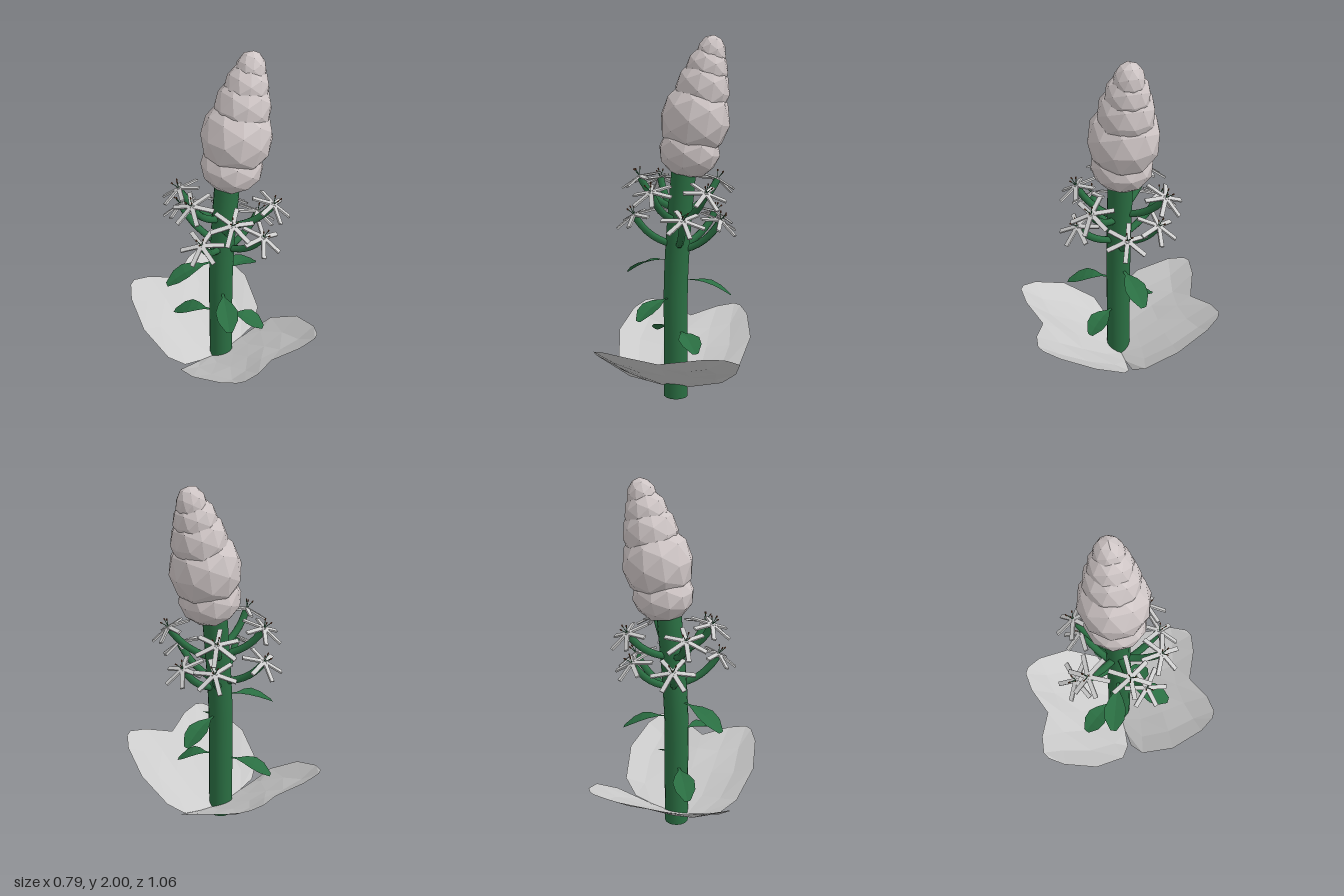
import * as THREE from 'three';

const mat = (color, flatShading = false, side = THREE.DoubleSide) =>
  new THREE.MeshStandardMaterial({ color, flatShading, side });
const GREEN = mat(0x2a6e42);
const LEAF = mat(0x2a6e42, true);
const GREY = mat(0xcccccc, true);
const BUD = mat(0xcfc6c6, true);
const BROWN = mat(0x7a4a30);
const V = (x, y, z) => new THREE.Vector3(x, y, z);

function add(parent, name, geometry, material) {
  const mesh = new THREE.Mesh(geometry, material);
  mesh.name = name;
  parent.add(mesh);
  return mesh;
}

// Surface through rows of points, all rows equally long
function grid(rows) {
  const n = rows[0].length, index = [];
  for (let r = 0; r < rows.length - 1; r++) {
    for (let c = 0; c < n - 1; c++) {
      const a = r * n + c, b = a + n;
      index.push(a, b, a + 1, a + 1, b, b + 1);
    }
  }
  const g = new THREE.BufferGeometry();
  g.setAttribute('position', new THREE.Float32BufferAttribute(rows.flat(2), 3));
  g.setIndex(index);
  g.computeVertexNormals();
  return g;
}

// Broad notched, cupped leaf: half of each row from midrib to rim
function broadLeafGeometry() {
  const half = [
    [[0, 0.05, 0], [0.07, 0.052, 0], [0.16, 0.07, 0], [0.265, 0.095, 0.01]],
    [[0, 0.12, 0.12], [0.12, 0.12, 0.11], [0.24, 0.14, 0.09], [0.35, 0.17, 0.062]],
    [[0, 0.2, 0.25], [0.13, 0.205, 0.25], [0.27, 0.235, 0.25], [0.394, 0.29, 0.24]],
    [[0, 0.285, 0.37], [0.13, 0.285, 0.385], [0.25, 0.315, 0.41], [0.35, 0.375, 0.428]],
    [[0, 0.34, 0.455], [0.153, 0.388, 0.52], [0.258, 0.41, 0.532], [0.298, 0.405, 0.51]],
  ];
  return grid(half.map(row => [
    ...row.slice(1).reverse().map(([x, y, z]) => [-x, y, z]), ...row]));
}

// Small drooping leaf from base to tip
function smallLeafGeometry(base, tip) {
  const side = tip.clone().sub(base).setY(0).normalize().cross(V(0, 1, 0));
  const widths = [0.006, 0.01, 0.04, 0.062, 0.056, 0.018];
  return grid(widths.map((w, i) => {
    const t = i / (widths.length - 1);
    const p = base.clone().lerp(tip, t);
    p.y += 0.025 * Math.sin(Math.PI * t);
    return [-1, 0, 1].map(s => {
      const q = p.clone().addScaledVector(side, s * w);
      q.y += Math.abs(s) * w * 0.2;
      return q.toArray();
    });
  }));
}

// Star flower opening along +y, with strap petals and fine stamens
function makeFlower() {
  const flower = new THREE.Group();
  flower.name = 'flower';
  const petal = new THREE.BoxGeometry(0.12, 0.01, 0.024).translate(0.06, 0, 0);
  for (let i = 0; i < 6; i++) {
    const arm = new THREE.Group();
    arm.rotation.y = i * Math.PI / 3;
    add(arm, 'petal', petal, GREY).rotation.z = -0.22;
    flower.add(arm);
  }
  for (let i = 0; i < 3; i++) {
    const arm = new THREE.Group();
    arm.rotation.set(0, i * Math.PI * 2 / 3 + 0.5, -0.45, 'YXZ');
    add(arm, 'stamen', new THREE.CylinderGeometry(0.002, 0.002, 0.045, 5), GREEN).position.y = 0.022;
    add(arm, 'anther', new THREE.CylinderGeometry(0.004, 0.004, 0.012, 5), BROWN).position.y = 0.047;
    flower.add(arm);
  }
  return flower;
}

export function createModel() {
  const plant = new THREE.Group();
  plant.name = 'plant';

  // Stem, leaning slightly towards the top
  const path = new THREE.CatmullRomCurve3([
    V(0, 0, 0), V(0, 0.3, 0), V(0, 0.65, 0), V(0.015, 0.95, 0), V(0.045, 1.3, 0)]);
  add(plant, 'stem', new THREE.TubeGeometry(path, 24, 0.068, 16), GREEN);
  add(plant, 'stemBase', new THREE.CircleGeometry(0.068, 16).rotateX(Math.PI / 2), GREEN);

  // Two broad leaves at the foot
  for (const turn of [0, Math.PI]) {
    add(plant, 'broadLeaf', broadLeafGeometry(), GREY).rotation.y = turn;
  }

  // Small leaves up the stem: tip position, base height
  const leaves = [
    [-0.3, 0.68, -0.11, 0.78], [0.3, 0.585, -0.06, 0.675], [-0.15, 0.5, 0.265, 0.58],
    [-0.16, 0.3, -0.25, 0.38], [0.15, 0.32, 0.21, 0.39],
  ];
  for (const [x, y, z, baseY] of leaves) {
    const base = V(x, 0, z).setLength(0.05).setY(baseY);
    add(plant, 'smallLeaf', smallLeafGeometry(base, V(x, y, z)), LEAF);
  }

  // Flowers on curved stalks, in an upper and a lower ring
  const flowers = [
    [-0.2, 1.25, 0.01], [-0.09, 1.19, 0.21], [0.2, 1.19, 0.2], [-0.13, 1.22, -0.2], [0.2, 1.22, -0.2],
    [-0.21, 1.05, 0.1], [0.09, 1.05, 0.25], [0.25, 1.02, 0.02], [-0.08, 1.06, -0.26], [0.19, 1.04, -0.17],
  ];
  flowers.forEach(([x, y, z], i) => {
    const tip = V(x, y, z);
    const curve = new THREE.QuadraticBezierCurve3(
      V(0.015, y - 0.18, 0), V(x * 0.68, y - 0.15, z * 0.68), tip);
    add(plant, 'flowerStalk', new THREE.TubeGeometry(curve, 8, 0.02, 7), GREEN);
    const flower = makeFlower();
    flower.position.copy(tip);
    flower.quaternion.setFromUnitVectors(V(0, 1, 0), curve.getTangent(1));
    flower.rotateY(i * 0.7);
    plant.add(flower);
  });

  // Faceted bud of overlapping blobs: x, y, radius, half height
  const blobs = [
    [0.075, 1.39, 0.168, 0.15], [0.105, 1.555, 0.19, 0.215], [0.143, 1.71, 0.148, 0.17],
    [0.166, 1.815, 0.115, 0.13], [0.188, 1.895, 0.08, 0.105],
  ];
  for (const [x, y, r, h] of blobs) {
    const blob = add(plant, 'budSegment', new THREE.IcosahedronGeometry(1, 1), BUD);
    blob.position.set(x, y, 0);
    blob.scale.set(r, h, r);
    blob.rotation.z = -0.15;
  }
  return plant;
}
